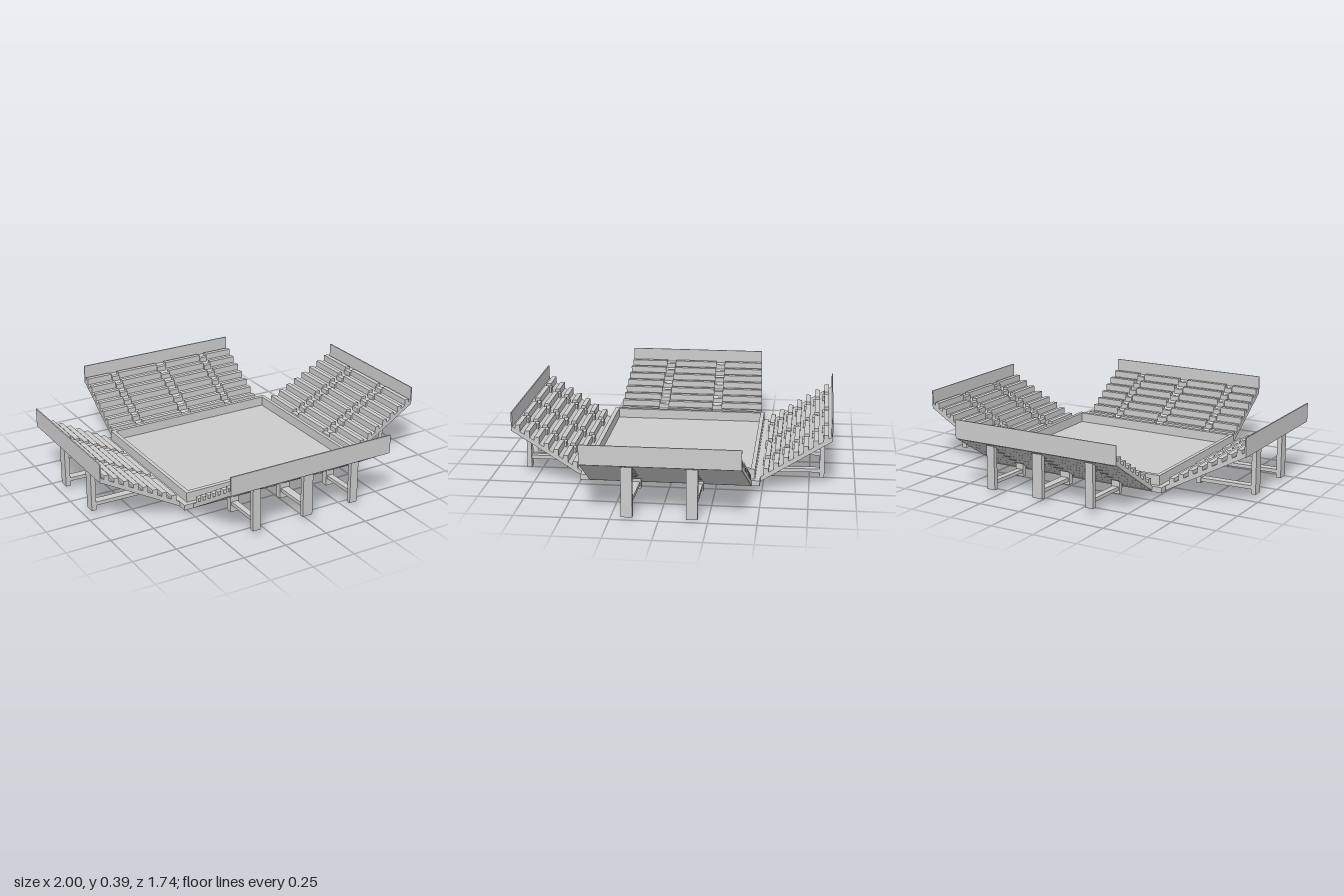
import * as THREE from 'three';

const material = new THREE.MeshStandardMaterial({ color: 0xcccccc, flatShading: true });

function add(parent, name, geometry) {
  const mesh = new THREE.Mesh(geometry, material);
  mesh.name = name;
  parent.add(mesh);
  return mesh;
}

// Box given by its limits on each axis
function box(x0, x1, y0, y1, z0, z1) {
  return new THREE.BoxGeometry(x1 - x0, y1 - y0, z1 - z0)
    .translate((x0 + x1) / 2, (y0 + y1) / 2, (z0 + z1) / 2);
}

// Prism with a side profile [x, y], running from z0 to z1
function prism(points, z0, z1) {
  const shape = new THREE.Shape(points.map(([x, y]) => new THREE.Vector2(x, y)));
  return new THREE.ExtrudeGeometry(shape, { depth: z1 - z0, bevelEnabled: false }).translate(0, 0, z0);
}

// One bank of seating, rising along local +x, with aisles crossing its width
function createStand(name, s) {
  const stand = new THREE.Group();
  stand.name = name;
  const { inner, outer, half, mid, taper, rows, aisles } = s;
  const bottom = (x) => 0.045 + 0.245 * (x - inner) / (outer - inner);
  const top = (x) => bottom(x) + 0.027;

  // Narrow the bank slightly towards its outer edge
  const narrow = (geometry) => {
    const p = geometry.attributes.position;
    for (let i = 0; i < p.count; i++) {
      const t = (p.getX(i) - inner) / (outer - inner);
      p.setZ(i, mid + p.getZ(i) * (1 - taper * t));
    }
    geometry.computeVertexNormals();
    return geometry;
  };

  // Sloping deck and thin back wall
  add(stand, 'deck', narrow(prism([
    [inner, bottom(inner)], [outer, bottom(outer)], [outer, top(outer)], [inner, top(inner)],
  ], -half, half)));
  add(stand, 'backWall', narrow(box(outer - 0.007, outer, 0.287, 0.393, -half, half)));

  // Seat rows, split by the aisles; each aisle has lower steps
  const pitch = (outer - inner - 0.02) / rows;
  const edges = [-half, ...aisles.flatMap(([a, b]) => [a - mid, b - mid]), half];
  for (let r = 0; r < rows; r++) {
    const end = inner + 0.005 + (r + 0.88) * pitch;
    const start = end - pitch * 0.52;
    const seatTop = top(end) + 0.02;
    for (let i = 0; i < edges.length - 1; i++) {
      const isAisle = i % 2 === 1;
      const geometry = isAisle
        ? box(start - pitch * 0.2, end - pitch * 0.2, top(start) - 0.02, seatTop - 0.014, edges[i], edges[i + 1])
        : box(start, end, top(start) - 0.01, seatTop, edges[i], edges[i + 1]);
      add(stand, isAisle ? 'aisleStep' : 'seatRow', narrow(geometry));
    }
  }

  // Support frames: tall post, short post and tie beam
  const { post, foot, shortPost, shortFoot, beam } = s;
  for (const [a, b] of s.frames) {
    const frame = new THREE.Group();
    frame.name = 'supportFrame';
    stand.add(frame);
    add(frame, 'tallPost', prism([
      [post[0], foot], [post[1], foot], [post[1], bottom(post[1]) + 0.01], [post[0], bottom(post[0]) + 0.01],
    ], a, b));
    add(frame, 'shortPost', prism([
      [shortPost[0], shortFoot], [shortPost[1], shortFoot],
      [shortPost[1], bottom(shortPost[1]) + 0.01], [shortPost[0], bottom(shortPost[0]) + 0.01],
    ], a, b));
    add(frame, 'tieBeam', prism([
      [shortPost[0], beam[0]], [post[1], beam[1]], [post[1], beam[1] + 0.02], [shortPost[0], beam[0] + 0.02],
    ], a + 0.006, b - 0.006));
  }
  return stand;
}

export function createModel() {
  const model = new THREE.Group();
  model.name = 'arena';

  // Central platform with a low wall round the floor
  const platform = new THREE.Group();
  platform.name = 'platform';
  model.add(platform);
  add(platform, 'floor', box(-0.555, 0.552, 0.045, 0.075, -0.49, 0.482));
  const rectangle = (Type, x0, x1, y0, y1) => new Type([
    new THREE.Vector2(x0, y0), new THREE.Vector2(x1, y0), new THREE.Vector2(x1, y1), new THREE.Vector2(x0, y1),
  ]);
  const rim = rectangle(THREE.Shape, -0.527, 0.525, -0.457, 0.463);
  rim.holes.push(rectangle(THREE.Path, -0.505, 0.503, -0.432, 0.44));
  add(platform, 'rimWall', new THREE.ExtrudeGeometry(rim, { depth: 0.06, bevelEnabled: false })
    .rotateX(-Math.PI / 2).translate(0, 0.07, 0));

  // Side banks
  const sideAisles = [[-0.197, -0.138], [0.138, 0.197]];
  const side = { inner: 0.55, outer: 1, half: 0.438, taper: 0.06, rows: 8, aisles: sideAisles, frames: sideAisles };
  const left = createStand('leftStand', {
    ...side, mid: -0.008, post: [0.933, 0.962], foot: 0, shortPost: [0.603, 0.63], shortFoot: 0.035, beam: [0.052, 0.066],
  });
  const right = createStand('rightStand', {
    ...side, mid: 0.008, post: [0.935, 0.962], foot: 0.02, shortPost: [0.61, 0.638], shortFoot: 0.033, beam: [0.04, 0.045],
  });
  right.rotation.y = Math.PI;

  // Front and back banks
  const aisles = [[-0.34, -0.293], [-0.03, 0.03], [0.273, 0.32]];
  const mirrored = aisles.map(([a, b]) => [-b, -a]).reverse();
  const end = { inner: 0.482, half: 0.496, taper: 0, rows: 7 };
  const front = createStand('frontStand', {
    ...end, outer: 0.868, mid: 0.003, aisles: mirrored, frames: mirrored,
    post: [0.8, 0.825], foot: 0.022, shortPost: [0.563, 0.6], shortFoot: 0.03, beam: [0.07, 0.072],
  });
  front.rotation.y = -Math.PI / 2;
  const back = createStand('backStand', {
    ...end, outer: 0.87, mid: -0.003, aisles, frames: aisles,
    post: [0.805, 0.832], foot: 0.022, shortPost: [0.535, 0.562], shortFoot: 0.025, beam: [0.044, 0.052],
  });
  back.rotation.y = Math.PI / 2;

  model.add(left, right, front, back);
  return model;
}
